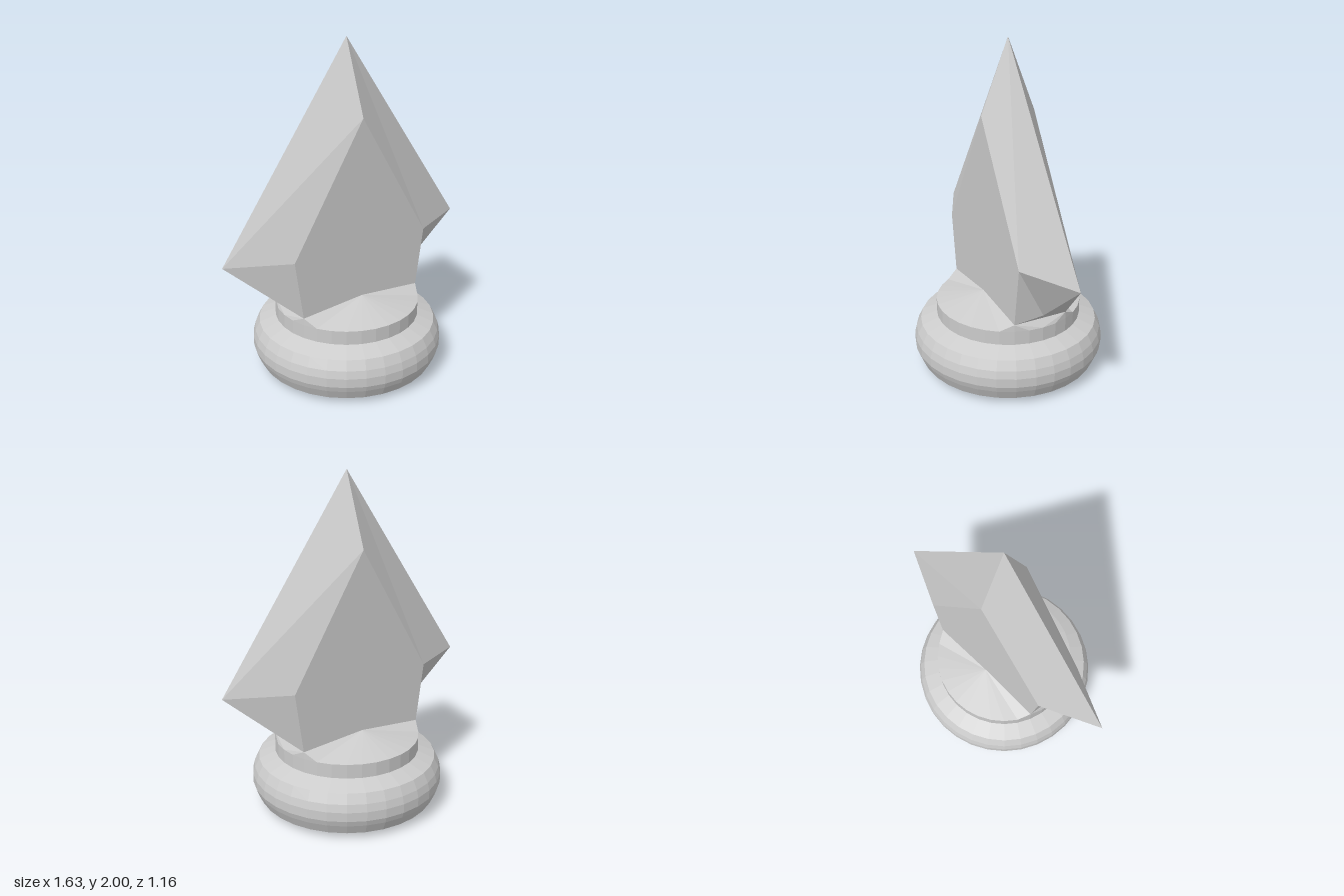
import * as THREE from 'three';

const SIDES = 32;
const RIM_RADIUS = 0.44, RIM_Y = 0.415;

const material = new THREE.MeshStandardMaterial({
  color: 0xcccccc, flatShading: true, side: THREE.DoubleSide,
});

// Mesh from convex faces of the +x +z quarter, mirrored into all four quarters.
function mirroredMesh(name, faces) {
  const positions = [];
  for (const sx of [1, -1]) for (const sz of [1, -1]) {
    for (const face of faces) {
      const corners = face.map(([x, y, z]) => [x * sx, y, z * sz]);
      if (sx * sz < 0) corners.reverse();
      for (let i = 1; i < corners.length - 1; i++) {
        positions.push(...corners[0], ...corners[i], ...corners[i + 1]);
      }
    }
  }
  const geometry = new THREE.BufferGeometry();
  geometry.setAttribute('position', new THREE.Float32BufferAttribute(positions, 3));
  geometry.computeVertexNormals();
  const mesh = new THREE.Mesh(geometry, material);
  mesh.name = name;
  return mesh;
}

// Point on the collar rim, k steps from +x towards +z
function rim(k) {
  const a = (k / SIDES) * Math.PI * 2;
  return [RIM_RADIUS * Math.cos(a), RIM_Y, RIM_RADIUS * Math.sin(a)];
}

export function createModel() {
  const group = new THREE.Group();
  group.name = 'spearheadFinial';

  // Hollow rounded base and collar, open underneath
  const profile = [
    [0.335, 0], [0.54, 0.04], [0.568, 0.1], [0.58, 0.135], [0.58, 0.19],
    [0.568, 0.235], [0.54, 0.29], [RIM_RADIUS, 0.33], [RIM_RADIUS, RIM_Y],
  ].map(([r, y]) => new THREE.Vector2(r, y));
  const base = new THREE.Mesh(new THREE.LatheGeometry(profile, SIDES), material);
  base.name = 'roundedBase';
  group.add(base);

  // Corners of one quarter of the blade
  const tip = [0, 2, 0];
  const faceTop = [0, 1.575, 0.168];
  const faceSide = [0.455, 0.815, 0.168];
  const faceFoot = [0.405, 0.457, 0.168];
  const faceCentre = [0, 0.492, 0.168];
  const wing = [0.815, 0.815, 0];
  const wingFoot = [0.44, 0.494, 0];
  const footMiddle = [0.405, 0.457, 0];

  // Bevelled blade
  group.add(mirroredMesh('blade', [
    [faceTop, faceCentre, faceFoot, faceSide],
    [tip, faceTop, faceSide, wing],
    [faceSide, faceFoot, wingFoot, wing],
    [wingFoot, faceFoot, footMiddle],
  ]));

  // Sloping shoulder that joins the blade foot to the collar rim
  const shoulder = [[faceCentre, rim(3), faceFoot], [faceFoot, rim(0), footMiddle]];
  for (let k = 8; k > 0; k--) {
    shoulder.push([k > 3 ? faceCentre : faceFoot, rim(k), rim(k - 1)]);
  }
  group.add(mirroredMesh('shoulder', shoulder));

  return group;
}
